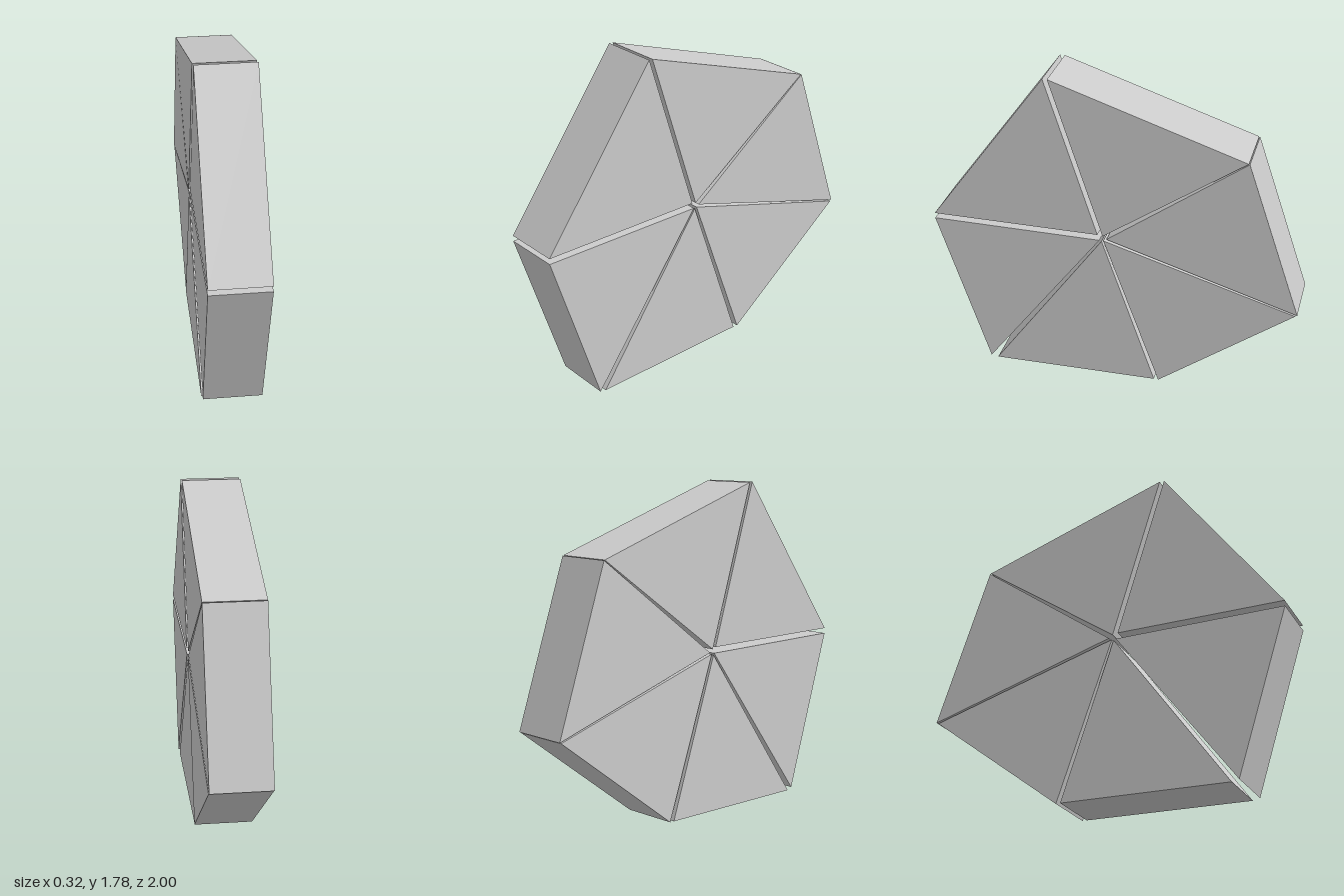
import * as THREE from 'three';

// Six separate wedge blocks: each is [z, y] corners (hub corner last) and its start in x
const WEDGES = [
  { name: 'upperFrontWedge', x: -0.157, pts: [[0.362, 1.783], [1.0, 0.914], [0.083, 0.914]] },
  { name: 'topWedge', x: -0.162, pts: [[0.338, 1.78], [-0.7, 1.44], [0.056, 0.906]] },
  { name: 'upperBackWedge', x: -0.162, pts: [[-0.705, 1.438], [-1.0, 0.579], [0.035, 0.89]] },
  { name: 'lowerBackWedge', x: -0.16, pts: [[-0.99, 0.574], [-0.26, 0.017], [0.051, 0.88]] },
  { name: 'bottomWedge', x: -0.162, pts: [[-0.235, 0.017], [0.684, 0.0], [0.062, 0.874]] },
  { name: 'lowerFrontWedge', x: -0.157, pts: [[0.721, 0.01], [1.0, 0.884], [0.072, 0.882]] },
];
const THICKNESS = 0.316;

export function createModel() {
  const group = new THREE.Group();
  group.name = 'splitHexagon';
  const material = new THREE.MeshStandardMaterial({ color: 0xcccccc, flatShading: true });

  for (const { name, x, pts } of WEDGES) {
    // Draw the triangle in the side plane, then turn the extrusion onto the x axis
    const shape = new THREE.Shape(pts.map(([z, y]) => new THREE.Vector2(-z, y)));
    const geometry = new THREE.ExtrudeGeometry(shape, { depth: THICKNESS, bevelEnabled: false });
    geometry.rotateY(Math.PI / 2);
    geometry.translate(x, 0, 0);
    const wedge = new THREE.Mesh(geometry, material);
    wedge.name = name;
    group.add(wedge);
  }
  return group;
}
